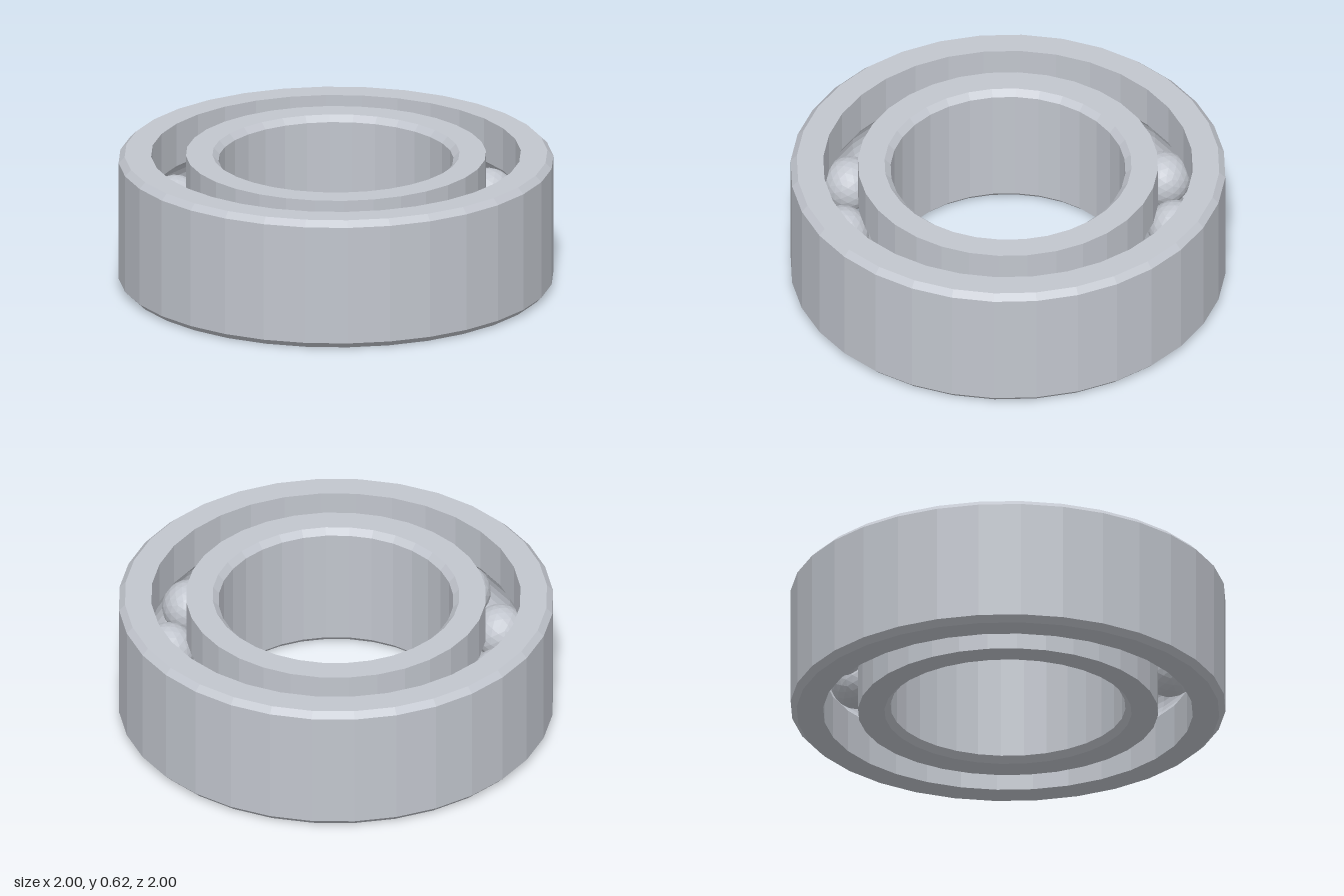
import * as THREE from 'three';

const HEIGHT = 0.615;
const MID = HEIGHT / 2;
const PITCH = 0.77; // radius of the circle of balls
const BALL = 0.125;
const BALL_COUNT = 13;
const SEGMENTS = 32;
const CHAMFER = 0.028;

// Points of a ball groove cut into a wall; side is +1 for a wall outside the balls, -1 inside
function groove(wall, side) {
  const radius = BALL + 0.005;
  const reach = Math.acos(Math.abs(wall - PITCH) / radius);
  const points = [];
  for (let i = 0; i <= 8; i++) {
    const a = reach * (i / 4 - 1);
    points.push([PITCH + side * radius * Math.cos(a), MID + radius * Math.sin(a)]);
  }
  return points;
}

// Closed cross-section turned around the y axis
function ring(name, profile, material) {
  const points = [...profile, profile[0]].map(([r, y]) => new THREE.Vector2(r, y));
  const mesh = new THREE.Mesh(new THREE.LatheGeometry(points, SEGMENTS), material);
  mesh.name = name;
  return mesh;
}

export function createModel() {
  const model = new THREE.Group();
  model.name = 'ballBearing';
  const steel = new THREE.MeshStandardMaterial({ color: 0xc2c6ce, flatShading: true });
  steel.name = 'steel';

  // Outer ring: chamfered rim outside, grooved wall inside
  const rim = 1, outerWall = 0.85;
  model.add(ring('outerRing', [
    [outerWall, 0], [rim - CHAMFER, 0], [rim, CHAMFER],
    [rim, HEIGHT - CHAMFER], [rim - CHAMFER, HEIGHT], [outerWall, HEIGHT],
    ...groove(outerWall, 1).reverse(),
  ], steel));

  // Inner ring: grooved wall outside, chamfered bore inside
  const bore = 0.54, innerWall = 0.69;
  model.add(ring('innerRing', [
    [bore + CHAMFER, 0], [innerWall, 0],
    ...groove(innerWall, -1),
    [innerWall, HEIGHT], [bore + CHAMFER, HEIGHT],
    [bore, HEIGHT - CHAMFER], [bore, CHAMFER],
  ], steel));

  // Balls, evenly spaced and starting at +x
  const balls = new THREE.Group();
  balls.name = 'balls';
  const ballGeometry = new THREE.IcosahedronGeometry(BALL, 3);
  for (let i = 0; i < BALL_COUNT; i++) {
    const a = (i / BALL_COUNT) * Math.PI * 2;
    const ball = new THREE.Mesh(ballGeometry, steel);
    ball.name = 'ball';
    ball.position.set(PITCH * Math.cos(a), MID, PITCH * Math.sin(a));
    ball.rotation.y = -a;
    balls.add(ball);
  }
  model.add(balls);
  return model;
}
